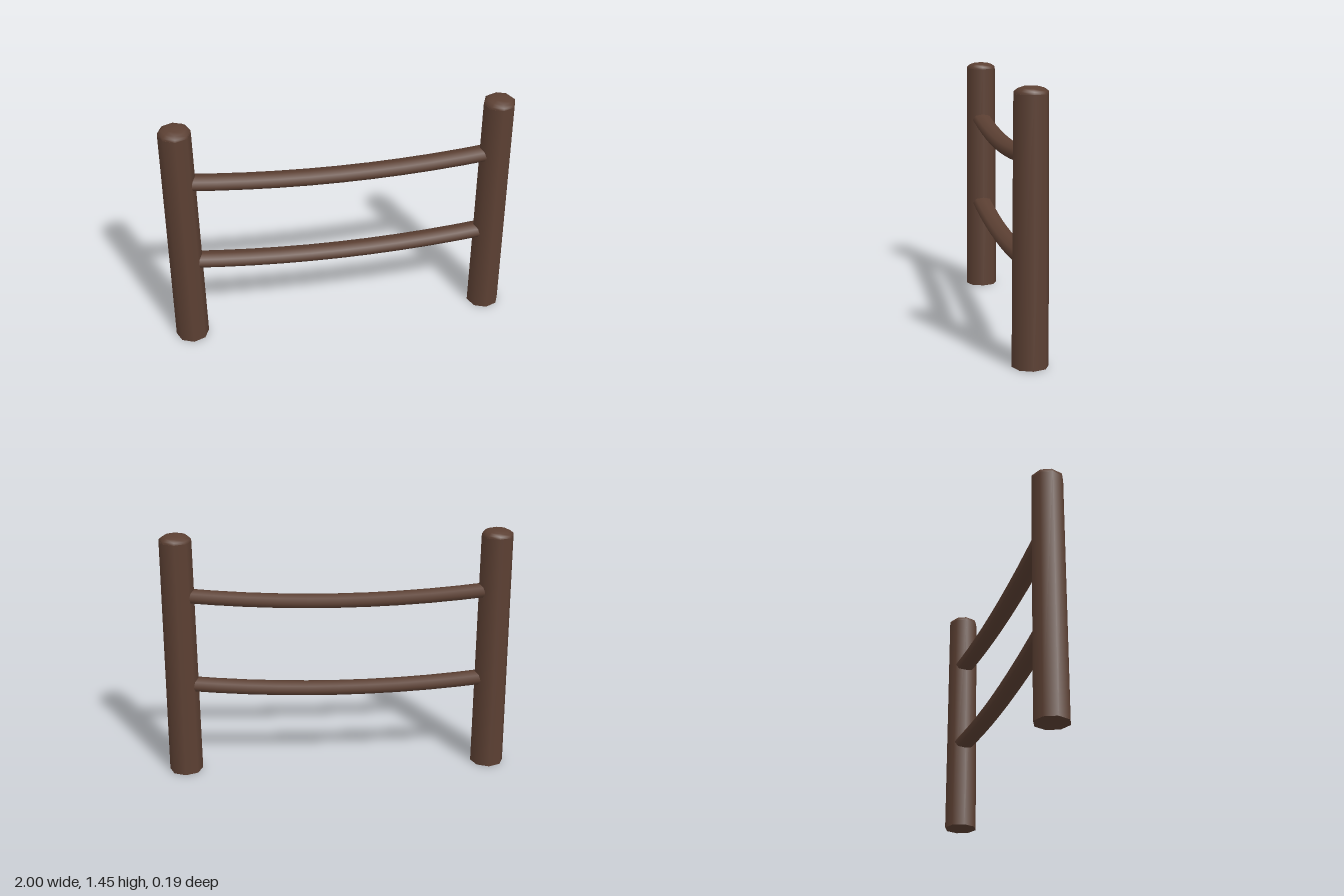
import * as THREE from 'three';

const POST_X = 0.9025;
const SIDES = 8;

export function createModel() {
  const model = new THREE.Group();
  model.name = 'ropeFence';
  const wood = new THREE.MeshStandardMaterial({ color: 0x5c4033 });
  wood.name = 'dark brown wood';

  const add = (name, geometry, x = 0, y = 0) => {
    const mesh = new THREE.Mesh(geometry, wood);
    mesh.name = name;
    mesh.position.set(x, y, 0);
    model.add(mesh);
  };

  // Tapered eight-sided posts, each with a low domed cap
  const postGeometry = new THREE.CylinderGeometry(0.0905, 0.0975, 1.41, SIDES);
  const capProfile = [[0.0895, 1.405], [0.0885, 1.424], [0.07, 1.438], [0.042, 1.447], [0, 1.45]]
    .map(([r, y]) => new THREE.Vector2(r, y));
  const capGeometry = new THREE.LatheGeometry(capProfile, SIDES);
  for (const [side, name] of [[1, 'left'], [-1, 'right']]) {
    add(name + 'Post', postGeometry, side * POST_X, 0.705);
    add(name + 'PostCap', capGeometry, side * POST_X);
  }

  // Sagging rails with an oval section, their ends sunk into the posts
  const points = [];
  for (let i = 0; i <= 8; i++) {
    const x = -0.88 + 0.22 * i;
    points.push(new THREE.Vector3(x, 0.065 * x * x, 0));
  }
  const railGeometry = new THREE.TubeGeometry(new THREE.CatmullRomCurve3(points), 10, 0.04, SIDES);
  railGeometry.scale(1, 1, 1.56);
  add('upperRail', railGeometry, 0, 1.04);
  add('lowerRail', railGeometry, 0, 0.5);

  return model;
}
